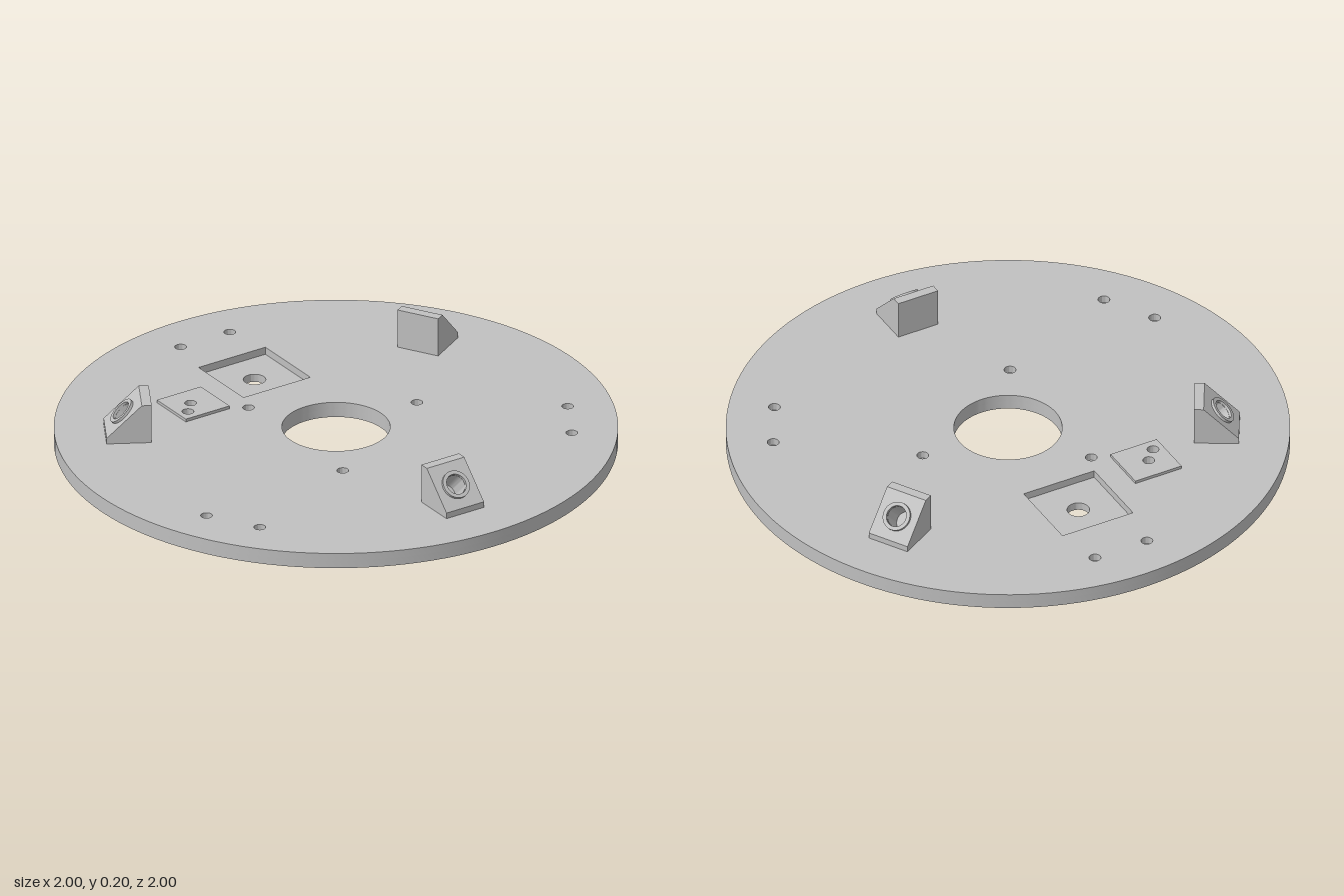
import * as THREE from 'three';
import { toCreasedNormals } from 'three/addons/utils/BufferGeometryUtils.js';

const grey = new THREE.MeshStandardMaterial({ color: 0xc0c0c0 });
grey.name = 'light grey';

const TOP = 0.058;    // upper face of the disc
const FLOOR = 0.03;   // depth reached by the pocket and blind holes
const HOLE = 0.021;
const THIRD = Math.PI * 2 / 3;

function mesh(name, geometry) {
  const m = new THREE.Mesh(toCreasedNormals(geometry, 0.6), grey);
  m.name = name;
  return m;
}

const circle = (x, z, r) => new THREE.Path().absarc(x, -z, r, 0, Math.PI * 2, true);

function rect(ShapeType, x, z, w, h) {
  return new ShapeType([[-1, -1], [1, -1], [1, 1], [-1, 1]]
    .map(([a, b]) => new THREE.Vector2(x + a * w / 2, -z + b * h / 2)));
}

// Flat slab lying on y0, drawn in x and -z
function slab(name, shape, holes, y0, y1, segments) {
  shape.holes.push(...holes);
  const g = new THREE.ExtrudeGeometry(shape, { depth: y1 - y0, bevelEnabled: false, curveSegments: segments });
  g.rotateX(-Math.PI / 2).translate(0, y0, 0);
  return mesh(name, g);
}

const discShape = () => new THREE.Shape().absarc(0, 0, 1, 0, Math.PI * 2, false);

// Wedge block, with its sloped face left open for the socket
function wedgeGeometry() {
  const profile = new THREE.Shape([[-0.66, TOP], [-0.66, 0.205], [-0.695, 0.205], [-0.82, 0.08], [-0.82, TOP]]
    .map(([z, y]) => new THREE.Vector2(z, y)));
  const g = new THREE.ExtrudeGeometry(profile, { depth: 0.16, bevelEnabled: false });
  g.translate(0, 0, -0.08).rotateY(Math.PI / 2);
  const p = g.attributes.position.array, n = g.attributes.normal.array, kept = [];
  for (let i = 0; i < p.length; i += 9) {
    if (!(n[i + 1] > 0.5 && n[i + 2] > 0.5)) kept.push(...p.slice(i, i + 9));
  }
  const open = new THREE.BufferGeometry();
  open.setAttribute('position', new THREE.Float32BufferAttribute(kept, 3));
  return open;
}

function sensorBlock() {
  const block = new THREE.Group();
  block.name = 'angledBlock';
  block.add(mesh('wedgeBody', wedgeGeometry()));

  const socket = new THREE.Group();
  socket.name = 'socket';
  socket.position.set(0, 0.1425, 0.7575);
  socket.rotation.x = -Math.PI / 4;
  const face = rect(THREE.Shape, 0, 0, 0.16, 0.125 * Math.SQRT2);
  face.holes.push(circle(0, 0, 0.037));
  socket.add(mesh('slopedFace', new THREE.ShapeGeometry(face, 24)));

  // Raised rim running down into a blind bore
  const rim = [[0.052, 0], [0.052, 0.01], [0.038, 0.01], [0.038, -0.09], [0, -0.09]]
    .map(([r, y]) => new THREE.Vector2(r, y));
  socket.add(mesh('rimAndBore', new THREE.LatheGeometry(rim, 48).rotateX(Math.PI / 2)));
  block.add(socket);
  return block;
}

export function createModel() {
  const model = new THREE.Group();
  model.name = 'mountingDisc';

  // Blind holes repeat three times round the disc
  const spots = [];
  for (let i = 0; i < 3; i++) {
    const c = Math.cos(i * THIRD), s = Math.sin(i * THIRD);
    for (const [x, z] of [[-0.105, -0.83], [0.105, -0.83], [0.345, 0]]) {
      spots.push([x * c - z * s, x * s + z * c]);
    }
  }
  const plateSpots = [[-0.335, -0.425], [-0.38, -0.375]];
  const holes = list => list.map(([x, z]) => circle(x, z, HOLE));

  // Disc: lower layer is the pocket floor, upper layer carries the cut-outs
  model.add(slab('discBase', discShape(),
    [circle(0, 0, 0.192), circle(0, -0.517, 0.04)], 0, FLOOR, 64));
  model.add(slab('discTop', discShape(),
    [circle(0, 0, 0.192), rect(THREE.Path, 0, -0.517, 0.285, 0.285), ...holes(spots), ...holes(plateSpots)],
    FLOOR, TOP, 64));

  // Small raised plate
  model.add(slab('raisedPlate', rect(THREE.Shape, -0.327, -0.42, 0.187, 0.183),
    holes(plateSpots), TOP, 0.069, 24));

  // Three blocks facing outwards
  for (let i = 0; i < 3; i++) {
    const block = sensorBlock();
    block.rotation.y = i * THIRD;
    model.add(block);
  }
  return model;
}
